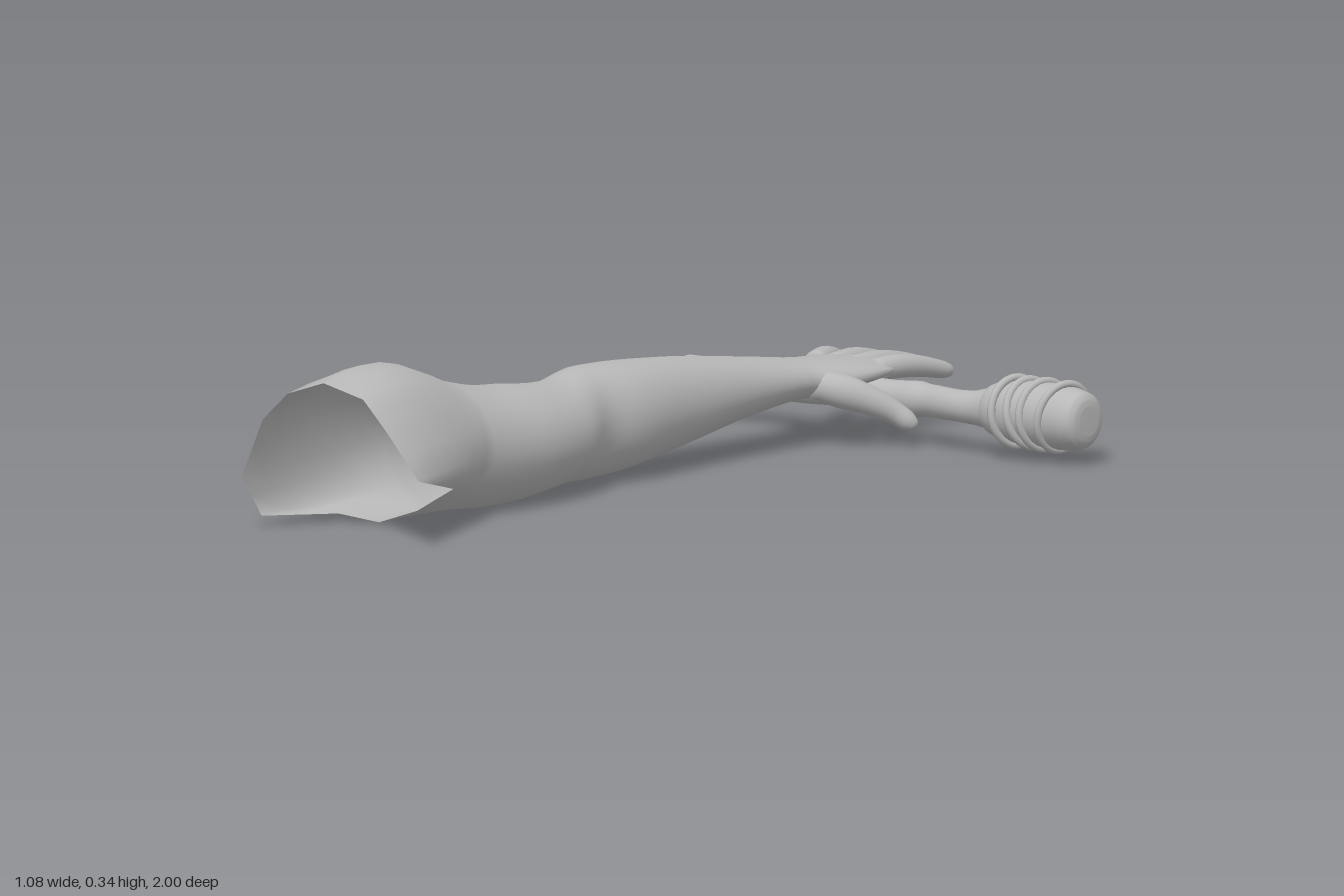
import * as THREE from 'three';

const SIDES = 24;
const UP = new THREE.Vector3(0, 1, 0);

// Smooth skin over a list of rings, optionally closed at either end
function loft(rings, capStart, capEnd) {
  const n = rings[0].length, pos = [], idx = [];
  rings.forEach(r => r.forEach(p => pos.push(p.x, p.y, p.z)));
  for (let i = 0; i < rings.length - 1; i++) {
    for (let j = 0; j < n; j++) {
      const a = i * n + j, b = i * n + (j + 1) % n;
      idx.push(a, b, a + n, b, b + n, a + n);
    }
  }
  const cap = (ring, base, start) => {
    const c = ring.reduce((s, p) => s.add(p), new THREE.Vector3()).divideScalar(n);
    const k = pos.length / 3;
    pos.push(c.x, c.y, c.z);
    for (let j = 0; j < n; j++) {
      const a = base + j, b = base + (j + 1) % n;
      if (start) idx.push(k, b, a); else idx.push(k, a, b);
    }
  };
  if (capStart) cap(rings[0], 0, true);
  if (capEnd) cap(rings[rings.length - 1], (rings.length - 1) * n, false);
  const g = new THREE.BufferGeometry();
  g.setAttribute('position', new THREE.Float32BufferAttribute(pos, 3));
  g.setIndex(idx);
  g.computeVertexNormals();
  return g;
}

// Ellipse around centre c, square to direction d
function ring(c, d, rw, rh, n = SIDES) {
  const s = new THREE.Vector3().crossVectors(UP, d).normalize();
  const u = new THREE.Vector3().crossVectors(d, s).normalize();
  return Array.from({ length: n }, (_, j) => {
    const a = j / n * Math.PI * 2;
    return c.clone().addScaledVector(s, Math.cos(a) * rw).addScaledVector(u, Math.sin(a) * rh);
  });
}

// Rings swept through [x, y, z, halfWidth, halfHeight]
function sweep(list, steps, fixedDir) {
  const path = new THREE.CatmullRomCurve3(list.map(p => new THREE.Vector3(p[0], p[1], p[2])));
  const size = new THREE.CatmullRomCurve3(list.map(p => new THREE.Vector3(p[3], p[4] ?? p[3], 0)));
  const total = (list.length - 1) * steps;
  return Array.from({ length: total + 1 }, (_, i) => {
    const t = i / total, r = size.getPoint(t);
    return ring(path.getPoint(t), fixedDir || path.getTangent(t), Math.max(r.x, 0.001), Math.max(r.y, 0.001));
  });
}

export function createModel() {
  const model = new THREE.Group();
  const grey = new THREE.MeshStandardMaterial({ color: 0xb8b8b8, side: THREE.DoubleSide });
  grey.name = 'plain grey';
  const add = (name, geometry, parent = model) => {
    const m = new THREE.Mesh(geometry, grey);
    m.name = name;
    parent.add(m);
    return m;
  };

  // Arm and palm: z, x min, x max, y min, y max from knuckles to upper arm
  const armSections = [
    [-0.835, -0.15, -0.06, 0.138, 0.152],
    [-0.815, -0.2, -0.015, 0.13, 0.16],
    [-0.77, -0.213, 0.0, 0.122, 0.168],
    [-0.7, -0.21, 0.005, 0.112, 0.175],
    [-0.62, -0.197, -0.01, 0.1, 0.182],
    [-0.55, -0.185, -0.033, 0.1, 0.19],
    [-0.4, -0.195, -0.045, 0.08, 0.21],
    [-0.2, -0.215, -0.04, 0.045, 0.235],
    [0, -0.23, -0.03, 0.02, 0.25],
    [0.1, -0.232, -0.04, 0.015, 0.25],
    [0.2, -0.236, -0.008, 0.02, 0.235],
    [0.35, -0.255, 0.013, 0.006, 0.248],
    [0.47, -0.258, 0.014, 0.006, 0.26],
    [0.58, -0.262, 0.01, 0.013, 0.285],
  ].map(([z, x0, x1, y0, y1]) => [(x0 + x1) / 2, (y0 + y1) / 2, z, (x1 - x0) / 2, (y1 - y0) / 2]);
  const armRings = sweep(armSections, 4, new THREE.Vector3(0, 0, 1));

  // Ragged open shoulder edge, one point every 30 degrees
  const rim = [
    [0.15, 0.15, 0.98], [0.065, 0.245, 0.98], [0.0, 0.305, 0.975], [-0.1, 0.33, 0.98],
    [-0.19, 0.3, 0.985], [-0.255, 0.24, 0.985], [-0.298, 0.12, 1.0], [-0.302, 0.028, 0.93],
    [-0.22, 0.022, 0.78], [-0.145, 0.006, 0.74], [-0.045, 0.04, 0.74], [0.05, 0.095, 0.74],
  ].map(p => new THREE.Vector3(...p));
  const last = armRings[armRings.length - 1];
  for (let i = 1; i <= 6; i++) {
    const t = i / 6;
    armRings.push(last.map((p, j) => {
      const a = rim[j >> 1], b = rim[((j >> 1) + 1) % 12];
      const edge = a.clone().lerp(b, (j % 2) / 2);
      const q = p.clone().lerp(edge, t);
      q.y += 0.04 * Math.sin(Math.PI * t) * Math.max(0, Math.sin(j / SIDES * Math.PI * 2));
      return q;
    }));
  }
  add('arm', loft(armRings, true, false));

  // Fingers: base x, tip x, tip z
  const fingers = new THREE.Group();
  fingers.name = 'fingers';
  model.add(fingers);
  [
    ['indexFinger', -0.032, -0.005, -0.972], ['middleFinger', -0.088, -0.09, -1.0],
    ['ringFinger', -0.14, -0.172, -0.985], ['littleFinger', -0.187, -0.247, -0.925],
  ].forEach(([name, bx, tx, tz]) => {
    const bz = -0.75;
    const at = (t, y, r) => [bx + (tx - bx) * t, y, bz + (tz - bz) * t, r];
    add(name, loft(sweep([
      at(0, 0.146, 0.024), at(0.3, 0.147, 0.025), at(0.6, 0.139, 0.022),
      at(0.88, 0.125, 0.018), at(0.97, 0.121, 0.013), at(1, 0.12, 0.002),
    ], 3), true, true), fingers);
  });

  // Thumb reaching down beside the stick
  add('thumb', loft(sweep([
    [-0.06, 0.135, -0.585, 0.03], [-0.01, 0.122, -0.615, 0.036], [0.035, 0.1, -0.655, 0.03],
    [0.068, 0.076, -0.69, 0.024], [0.09, 0.058, -0.706, 0.021],
    [0.102, 0.047, -0.714, 0.013], [0.106, 0.043, -0.716, 0.002],
  ], 3), true, true));

  // Stick that bends gently and swells into the mallet head
  add('stick', loft(sweep([
    [-0.541, 0.097, -0.748, 0.012], [-0.535, 0.097, -0.748, 0.024], [-0.515, 0.097, -0.748, 0.033],
    [-0.3, 0.097, -0.75, 0.034], [-0.1, 0.097, -0.75, 0.034], [0.02, 0.097, -0.75, 0.034],
    [0.11, 0.097, -0.752, 0.034], [0.2, 0.098, -0.733, 0.033], [0.25, 0.098, -0.735, 0.036],
    [0.3, 0.1, -0.74, 0.048],
  ], 4), true, true));
  add('malletHead', loft(sweep([
    [0.283, 0.1, -0.74, 0.04], [0.29, 0.1, -0.74, 0.05], [0.31, 0.1, -0.74, 0.058],
    [0.36, 0.1, -0.74, 0.066], [0.43, 0.1, -0.74, 0.068], [0.5, 0.098, -0.739, 0.065],
    [0.528, 0.098, -0.739, 0.058], [0.538, 0.098, -0.739, 0.045], [0.541, 0.098, -0.739, 0.03],
  ], 4), true, true));

  // Cord wound around the head: x, turn, lean
  const cord = new THREE.Group();
  cord.name = 'cordWinding';
  model.add(cord);
  [[0.352, -0.2, 0.1], [0.39, -0.15, 0.2], [0.425, -0.2, 0.06], [0.472, -0.18, -0.12]].forEach(([x, turn, lean], i) => {
    const loop = add('cordLoop' + (i + 1), new THREE.TorusGeometry(0.07, 0.0085, 10, 36), cord);
    loop.position.set(x, 0.1, -0.74);
    loop.rotation.set(0, Math.PI / 2 + turn, lean, 'ZYX');
  });

  return model;
}
